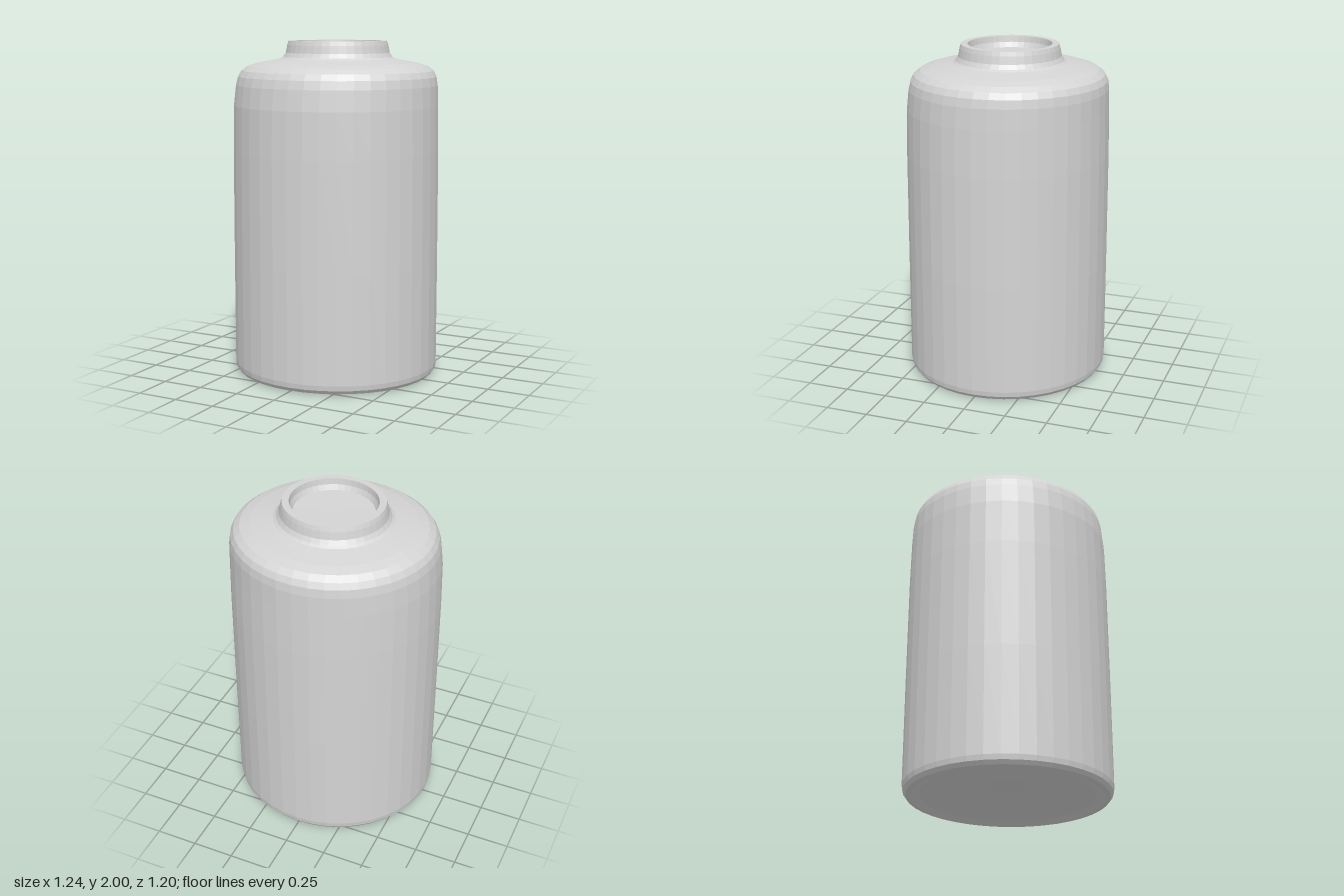
import * as THREE from 'three';

const DEPTH = 0.965; // the bottle is slightly oval, narrower front to back

function turned(name, points, material) {
  const geometry = new THREE.LatheGeometry(points.map(([r, y]) => new THREE.Vector2(r, y)), 40);
  // Oval section, with the neck drifting slightly off the body's axis
  const pos = geometry.attributes.position;
  for (let i = 0; i < pos.count; i++) {
    const drift = THREE.MathUtils.smoothstep(pos.getY(i), 1.6, 1.9);
    pos.setX(i, pos.getX(i) + 0.006 * drift);
    pos.setZ(i, pos.getZ(i) * DEPTH - 0.014 * drift);
  }
  geometry.computeVertexNormals();
  const mesh = new THREE.Mesh(geometry, material);
  mesh.name = name;
  return mesh;
}

export function createModel() {
  const grey = new THREE.MeshStandardMaterial({ color: 0xd4d4d4, flatShading: true });
  grey.name = 'plain grey';

  const bottle = new THREE.Group();
  bottle.name = 'bottle';

  // Underside domed up into the body
  bottle.add(turned('base', [
    [0, 0.08], [0.12, 0.08], [0.26, 0.068], [0.4, 0.048], [0.52, 0.022], [0.57, 0],
  ], grey));

  // Bevelled foot, tall wall and rounded shoulder
  bottle.add(turned('body', [
    [0.57, 0], [0.6, 0.008], [0.617, 0.03], [0.622, 0.06], [0.622, 0.7], [0.62, 1.35],
    [0.615, 1.62], [0.607, 1.74], [0.597, 1.79], [0.577, 1.825], [0.54, 1.852],
    [0.48, 1.87], [0.4, 1.884], [0.345, 1.894],
  ], grey));

  // Flared neck and flat rim
  bottle.add(turned('neck', [
    [0.345, 1.894], [0.328, 1.905], [0.312, 1.93], [0.303, 1.975], [0.295, 2], [0.255, 2],
  ], grey));

  // Shallow recess closed by a flat seal
  bottle.add(turned('mouth', [[0.255, 2], [0.25, 1.965], [0.235, 1.935], [0, 1.93]], grey));

  return bottle;
}
